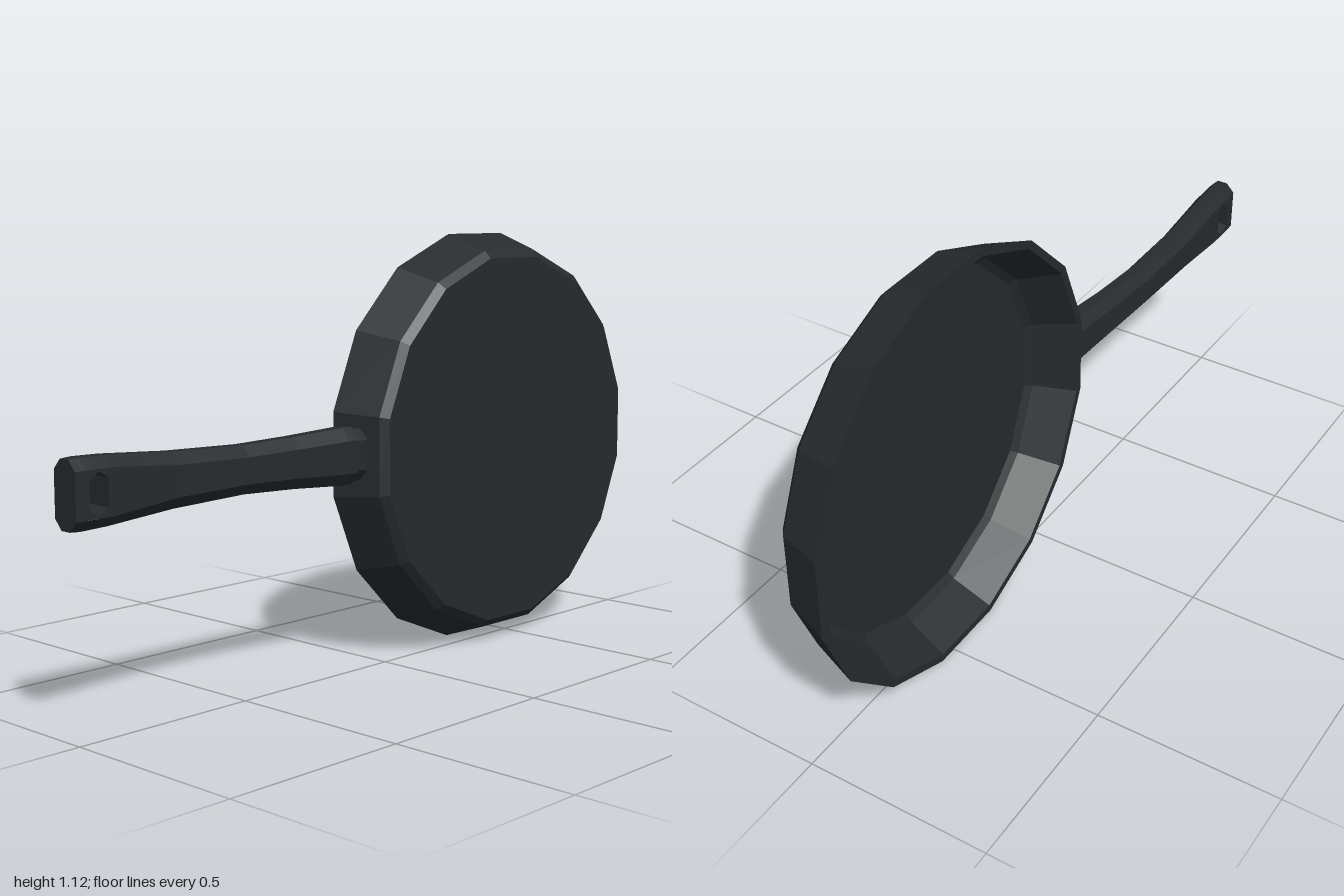
import * as THREE from 'three';

const dark = new THREE.MeshStandardMaterial({ color: 0x272b2e, flatShading: true });
const HANDLE_Y = 0.566;

function part(name, geometry) {
  const mesh = new THREE.Mesh(geometry, dark);
  mesh.name = name;
  return mesh;
}

// Loft of chamfered octagon sections along x.
// Station: [x, half height, half flat width, back z, front z]
// openSegment leaves its front and back faces open.
function loft(stations, openSegment = -1) {
  const pos = [], index = [];
  for (const [x, h, a, z0, z1] of stations) {
    const m = (z0 + z1) / 2, t = (z1 - z0) / 2, c = t * 0.4;
    const ring = [[h, -c], [h, c], [a, t], [-a, t], [-h, c], [-h, -c], [-a, -t], [a, -t]];
    for (const [y, z] of ring) pos.push(x, HANDLE_Y + y, m + z);
  }
  const last = (stations.length - 1) * 8;
  for (let i = 0; i < stations.length - 1; i++) {
    for (let j = 0; j < 8; j++) {
      if (i === openSegment && j % 4 === 2) continue;
      const a = i * 8 + j, b = i * 8 + (j + 1) % 8;
      index.push(a, b, b + 8, a, b + 8, a + 8);
    }
  }
  for (let j = 1; j < 7; j++) {
    index.push(0, j + 1, j, last, last + j, last + j + 1);
  }
  const g = new THREE.BufferGeometry();
  g.setAttribute('position', new THREE.Float32BufferAttribute(pos, 3));
  g.setIndex(index);
  g.computeVertexNormals();
  return g;
}

export function createModel() {
  const group = new THREE.Group();
  group.name = 'fryingPan';

  // Sixteen-sided dish, base towards +z and opening towards -z
  const profile = [
    [0, 0.05], [0.478, 0.05], [0.497, 0.035], [0.55, -0.07],
    [0.571, -0.07], [0.527, 0.052], [0.506, 0.07], [0, 0.07],
  ].map(([r, y]) => new THREE.Vector2(r, y));
  const dish = new THREE.LatheGeometry(profile, 16, Math.PI / 16);
  dish.rotateX(Math.PI / 2).translate(0.44, 0.56, 0);
  group.add(part('dish', dish));

  // Waisted, gently arched grip
  group.add(part('grip', loft([
    [-1.0, 0.081, 0.056, -0.068, 0.008],
    [-0.972, 0.083, 0.056, -0.07, 0.008],
    [-0.895, 0.081, 0.056, -0.071, 0.005],
    [-0.7, 0.067, 0.038, -0.074, 0.0],
    [-0.48, 0.06, 0.033, -0.072, 0.002],
    [-0.32, 0.065, 0.036, -0.064, 0.011],
    [-0.16, 0.074, 0.042, -0.053, 0.026],
    [-0.13, 0.074, 0.042, -0.052, 0.028],
  ], 1)));

  // Plate with the hanging hole, filling the open part of the grip
  const plate = new THREE.Shape([
    [-0.972, -0.056], [-0.895, -0.056], [-0.895, 0.056], [-0.972, 0.056],
  ].map(([x, y]) => new THREE.Vector2(x, y)));
  plate.holes.push(new THREE.Path([
    [-0.933, 0.05], [-0.96, 0.034], [-0.96, -0.034],
    [-0.933, -0.05], [-0.906, -0.034], [-0.906, 0.034],
  ].map(([x, y]) => new THREE.Vector2(x, y))));
  const holePlate = new THREE.ExtrudeGeometry(plate, { depth: 0.077, bevelEnabled: false });
  holePlate.translate(0, HANDLE_Y, -0.0705);
  group.add(part('hangingHole', holePlate));

  // Narrower neck joining the grip to the dish
  group.add(part('neck', loft([
    [-0.15, 0.067, 0.038, -0.046, 0.021],
    [-0.09, 0.067, 0.038, -0.046, 0.021],
  ])));

  return group;
}
